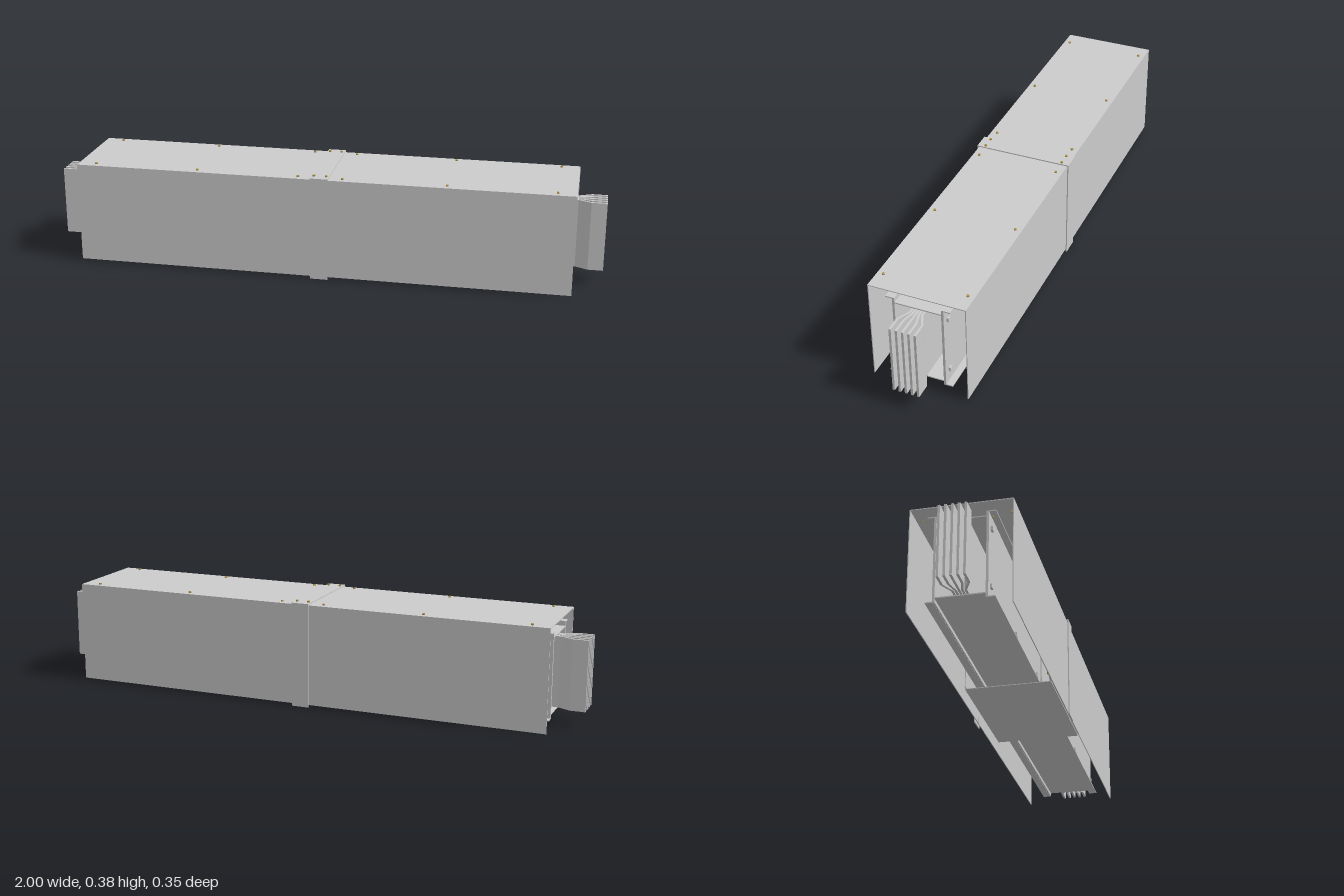
import * as THREE from 'three';

const grey = new THREE.MeshStandardMaterial({ color: 0xcccccc });
const blue = new THREE.MeshStandardMaterial({ color: 0x2a4f9c });
const brass = new THREE.MeshStandardMaterial({ color: 0xb0954a });

export function createModel() {
  const model = new THREE.Group();

  const add = (name, geometry, x, y, z, material = grey) => {
    const mesh = new THREE.Mesh(geometry, material);
    mesh.name = name;
    mesh.position.set(x, y, z);
    model.add(mesh);
    return mesh;
  };
  // Box given by its low and high limits on each axis
  const box = (name, [x0, x1], [y0, y1], [z0, z1], material) =>
    add(name, new THREE.BoxGeometry(x1 - x0, y1 - y0, z1 - z0),
      (x0 + x1) / 2, (y0 + y1) / 2, (z0 + z1) / 2, material);
  // The same box on the +z and -z sides
  const pair = (name, xs, ys, [z0, z1], material) => {
    box(name, xs, ys, [z0, z1], material);
    box(name, xs, ys, [-z1, -z0], material);
  };
  // Cylinder lying along z between two limits
  const rod = (name, r, sides, y, z0, z1, material) =>
    add(name, new THREE.CylinderGeometry(r, r, z1 - z0, sides).rotateX(Math.PI / 2),
      0, y, (z0 + z1) / 2, material);
  // Upright screw with a hexagonal head
  const screw = (name, x, y, z) => {
    add(name, new THREE.CylinderGeometry(0.005, 0.005, 0.005, 6), x, y + 0.0025, z, brass);
    add(name + 'Shank', new THREE.CylinderGeometry(0.0025, 0.0025, 0.012, 10), x, y - 0.005, z, brass);
  };
  // Inverted U of sheet metal, open at the bottom
  const hood = (name, x0, x1, halfWidth, y0, y1, t) => {
    const w = halfWidth, s = new THREE.Shape();
    s.setFromPoints([[-w, y0], [-w + t, y0], [-w + t, y1 - t], [w - t, y1 - t],
      [w - t, y0], [w, y0], [w, y1], [-w, y1]].map(p => new THREE.Vector2(...p)));
    const g = new THREE.ExtrudeGeometry(s, { depth: x1 - x0, bevelEnabled: false });
    add(name, g.rotateY(Math.PI / 2), x0, 0, 0);
  };

  // Outer cover in two halves and the strap over their seam
  hood('coverRight', -0.897, -0.001, 0.17, 0.008, 0.374, 0.003);
  hood('coverLeft', 0.001, 0.897, 0.17, 0.008, 0.374, 0.003);
  hood('coverStrap', -0.032, 0.032, 0.176, 0, 0.38, 0.004);
  for (const side of [-1, 1]) for (const z of [-0.147, 0.147]) {
    for (const x of [0.83, 0.45, 0.08]) screw('coverScrew', side * x, 0.374, z);
    screw('strapScrew', side * 0.022, 0.38, z);
  }

  // Inner trunking and conductors, mirrored along x
  for (const side of [-1, 1]) {
    const span = (a, b) => side > 0 ? [a, b] : [-b, -a];
    const run = span(0.12, 0.89);
    pair('trunkingSide', run, [0.036, 0.342], [0.081, 0.089]);
    pair('upperFlange', run, [0.338, 0.342], [0.085, 0.112]);
    pair('lowerFlange', run, [0.035, 0.039], [0.085, 0.112]);
    box('trunkingTop', run, [0.321, 0.325], [-0.085, 0.085]);
    box('trunkingBottom', run, [0.049, 0.053], [-0.085, 0.085]);
    for (const x of [0.2, 0.52, 0.86]) {
      for (const z of [-0.095, 0.095]) screw('flangeScrew', side * x, 0.342, z);
      for (const y of [0.085, 0.29])
        pair('sideNut', span(x - 0.008, x + 0.008), [y - 0.007, y + 0.007], [0.088, 0.096]);
    }

    // Five bars that lie close together and spread at both ends
    for (let i = -2; i <= 2; i++) {
      const wide = i * 0.0215, tight = i * 0.0105, t = 0.004;
      const line = [[0.004, wide], [0.09, wide], [0.13, tight], [0.9, tight], [0.945, wide], [1, wide]];
      const outline = [...line.map(([x, z]) => [x, z - t]), ...line.slice().reverse().map(([x, z]) => [x, z + t])];
      const shape = new THREE.Shape(outline.map(([x, z]) => new THREE.Vector2(side * x, z)));
      const g = new THREE.ExtrudeGeometry(shape, { depth: 0.251, bevelEnabled: false });
      add('conductorBar', g.rotateX(-Math.PI / 2), 0, 0.062, 0);
    }
  }

  // Shroud around the central joint
  const joint = [-0.25, 0.25];
  box('jointTopPlate', joint, [0.342, 0.346], [-0.153, 0.153]);
  box('jointTopLabelPlate', [-0.05, 0.05], [0.346, 0.348], [-0.03, 0.03]);
  box('jointBottomPlate', joint, [0.032, 0.035], [-0.153, 0.153]);
  pair('jointSidePlate', joint, [0.041, 0.333], [0.151, 0.154]);

  // Clamping plates and insulators of the joint
  pair('clampPlate', [-0.1, 0.1], [0.05, 0.325], [0.081, 0.089]);
  pair('outerInsulator', [-0.095, 0.095], [0.045, 0.328], [0.064, 0.072], blue);
  for (const z of [0.011, 0.032, 0.052])
    pair('insulator', [-0.095, 0.095], [0.045, 0.328], [z - 0.002, z + 0.002], blue);

  // Through bolt with its head, nut, washers and sleeves
  rod('jointBolt', 0.008, 20, 0.187, -0.14, 0.13, brass);
  rod('boltHead', 0.02, 6, 0.187, 0.121, 0.136, brass);
  rod('boltNut', 0.019, 6, 0.187, -0.136, -0.118, brass);
  for (const s of [-1, 1]) {
    rod('springWasher', 0.038, 32, 0.187, s * 0.103 - 0.0035, s * 0.103 + 0.0035);
    rod('boltSleeve', 0.013, 24, 0.187, s * 0.066 - 0.015, s * 0.066 + 0.015);
  }
  return model;
}
